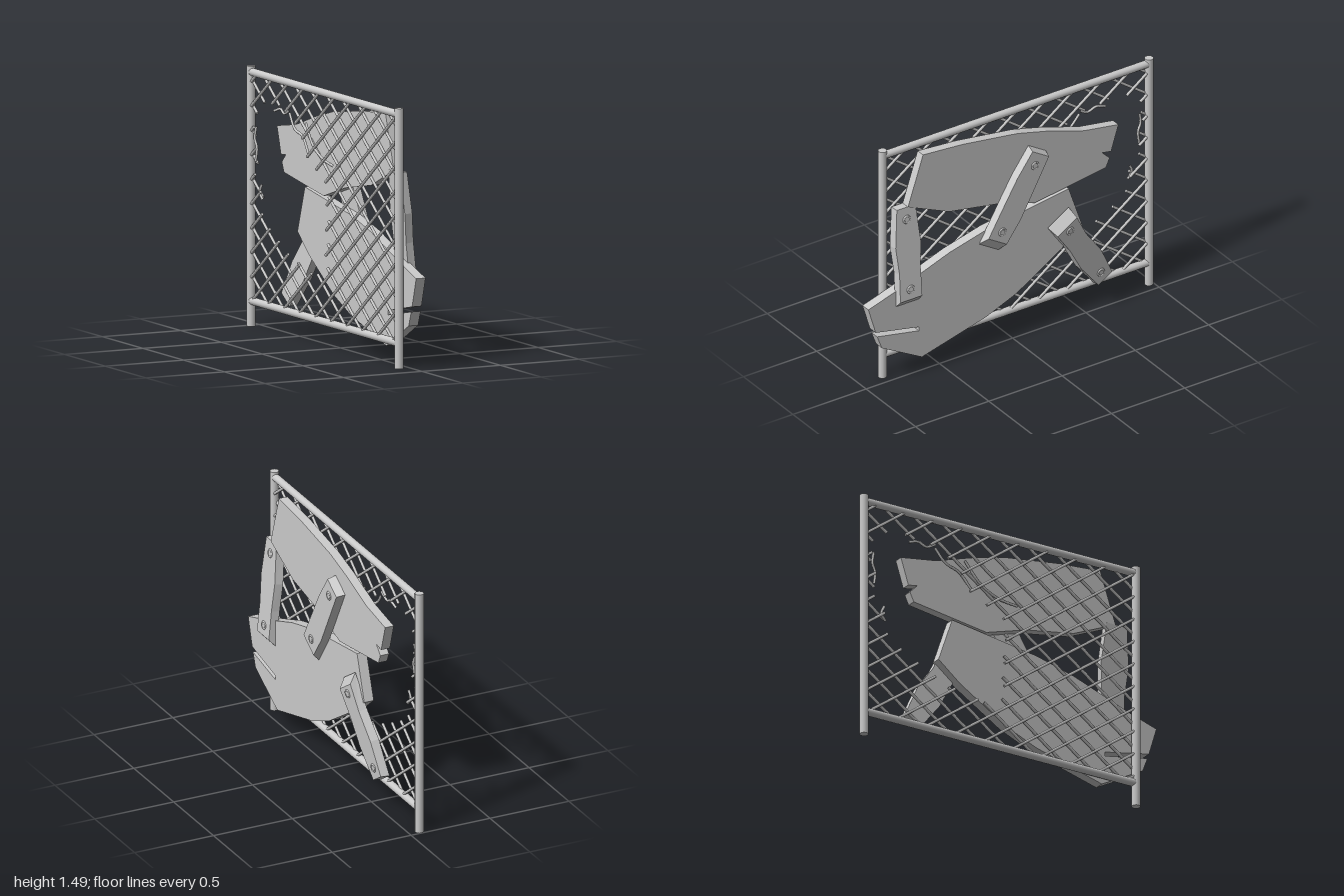
import * as THREE from 'three';

const mat = new THREE.MeshStandardMaterial({ color: 0xcccccc, flatShading: true });
const smooth = new THREE.MeshStandardMaterial({ color: 0xcccccc });
const V = (x, y, z) => new THREE.Vector3(x, y, z);
const shapeOf = (pts) => new THREE.Shape(pts.map(([x, y]) => new THREE.Vector2(x, y)));
const FRAME = -0.065; // depth of the fence plane

function add(parent, name, geometry, material = mat) {
  const m = new THREE.Mesh(geometry, material);
  m.name = name;
  parent.add(m);
  return m;
}

// Round bar between two points
function bar(parent, name, a, b, r, sides, material = smooth) {
  const d = b.clone().sub(a);
  const m = add(parent, name, new THREE.CylinderGeometry(r, r, d.length(), sides), material);
  m.position.copy(a).add(b).multiplyScalar(0.5);
  m.quaternion.setFromUnitVectors(V(0, 1, 0), d.normalize());
}

// Torn opening in the wire mesh
const hole = [[0.36, 1.2], [0.5, 1.28], [0.62, 1.3], [0.77, 1.31], [0.9, 1.27], [0.93, 1.12], [0.89, 0.98],
  [0.91, 0.88], [0.84, 0.8], [0.83, 0.67], [0.7, 0.57], [0.55, 0.5], [0.42, 0.44], [0.2, 0.4],
  [0.05, 0.42], [0.03, 0.85], [0.05, 0.97], [0.25, 1.03]];

function inHole(x, y) {
  let inside = false;
  for (let i = 0, j = hole.length - 1; i < hole.length; j = i++) {
    const [xi, yi] = hole[i], [xj, yj] = hole[j];
    if ((yi > y) !== (yj > y) && x < ((xj - xi) * (y - yi)) / (yj - yi) + xi) inside = !inside;
  }
  return inside;
}

// Diagonal wires, cut by the frame and by the opening
function wireMesh(parent) {
  const g = new THREE.Group();
  g.name = 'wireMesh';
  parent.add(g);
  const x0 = -0.83, x1 = 0.96, y0 = 0.15, y1 = 1.45, slope = 0.73, step = 0.14, dx = 0.004;
  for (const s of [1, -1]) {
    const depth = FRAME + s * 0.007;
    for (let c = -1.4; c < 3; c += step) {
      let start = null, last = null;
      for (let x = x0; x <= x1 + dx; x += dx) {
        const y = c + s * slope * x;
        const open = x <= x1 && y > y0 && y < y1 && !inHole(x, y);
        if (open) {
          last = V(x, y, depth);
          start = start || last;
        } else if (start) {
          if (last.distanceTo(start) > 0.02) bar(g, 'wire', start, last, 0.009, 6);
          start = null;
        }
      }
    }
  }
  // Loose, bent wire ends around the opening
  const loose = [
    [[0.3, 1.25], [0.2, 1.13], [0.08, 1.07], [-0.05, 1.05]],
    [[0.5, 1.28], [0.43, 1.2], [0.34, 1.17], [0.26, 1.08]],
    [[0.5, 1.3], [0.56, 1.27], [0.61, 1.29], [0.68, 1.27]],
    [[0.91, 1.15], [0.92, 1.08], [0.9, 1.03], [0.91, 0.95]],
    [[0.84, 0.83], [0.86, 0.78], [0.83, 0.74]],
  ];
  for (const pts of loose) {
    const curve = new THREE.CatmullRomCurve3(pts.map(([x, y], i) => V(x, y, FRAME - 0.004 * (i % 2))));
    add(g, 'looseWire', new THREE.TubeGeometry(curve, 12, 0.008, 6), smooth);
  }
}

// Flat board cut from an outline
function board(parent, name, pts, back, thickness) {
  const geo = new THREE.ExtrudeGeometry(shapeOf(pts), { depth: thickness, bevelEnabled: false });
  add(parent, name, geo).position.z = back;
}

// Bolted strip running from a to b; widths are [fraction along, left, right],
// cutLow and cutHigh slope the front edge of each end
function strip(parent, name, a, b, widths, thickness, cutLow, cutHigh, bolts) {
  const g = new THREE.Group();
  g.name = name;
  const len = a.distanceTo(b);
  const outline = [...widths.map(([t, , r]) => [r, t * len]),
    ...widths.slice().reverse().map(([t, l]) => [-l, t * len])];
  const geo = new THREE.ExtrudeGeometry(shapeOf(outline), { depth: thickness, bevelEnabled: false });
  const p = geo.attributes.position;
  for (let i = 0; i < p.count; i++) {
    if (p.getZ(i) < thickness / 2) continue;
    p.setX(i, p.getX(i) * 0.93);
    if (p.getY(i) < 0.001) p.setY(i, cutLow);
    if (p.getY(i) > len - 0.001) p.setY(i, len - cutHigh);
  }
  geo.computeVertexNormals();
  add(g, 'strip', geo);
  for (const t of bolts) {
    const ring = add(g, 'boltRing', new THREE.TorusGeometry(0.021, 0.006, 6, 16), smooth);
    ring.position.set(0, t * len, thickness);
    const head = add(g, 'boltHead', new THREE.CylinderGeometry(0.016, 0.018, 0.008, 12));
    head.rotation.x = Math.PI / 2;
    head.position.set(0, t * len, thickness);
  }
  const Y = b.clone().sub(a).normalize();
  const Z = V(0, 0, 1).addScaledVector(Y, -Y.z).normalize();
  g.quaternion.setFromRotationMatrix(new THREE.Matrix4().makeBasis(Y.clone().cross(Z), Y, Z));
  g.position.copy(a);
  parent.add(g);
}

export function createModel() {
  const model = new THREE.Group();
  model.name = 'patchedFence';
  // Panel is laid out in its own plane, then turned to face +x
  const panel = new THREE.Group();
  panel.name = 'panel';
  panel.rotation.y = Math.PI / 2;
  model.add(panel);

  // Posts and rails
  for (const x of [-0.845, 0.974]) bar(panel, 'post', V(x, 0, FRAME), V(x, 1.49, FRAME), 0.026, 12);
  for (const y of [0.145, 1.455]) bar(panel, 'rail', V(-0.845, y, FRAME), V(0.974, y, FRAME), 0.023, 12);
  wireMesh(panel);

  // Large boards
  board(panel, 'upperBoard', [[-0.624, 1.427], [-0.726, 1.117], [-0.447, 0.993], [-0.126, 0.935], [0.137, 0.854],
    [0.624, 0.924], [0.65, 0.98], [0.6, 1.03], [0.66, 1.02], [0.71, 1.18], [0.474, 1.218], [0.222, 1.3],
    [0.02, 1.352], [-0.356, 1.406]], -0.037, 0.055);
  board(panel, 'lowerBoard', [[-1, 0.533], [-0.95, 0.365], [-0.656, 0.305], [-0.656, 0.28], [-0.94, 0.335],
    [-0.908, 0.25], [-0.635, 0.1], [-0.195, 0.217], [0.01, 0.302], [0.313, 0.49], [0.458, 0.607],
    [0.367, 0.875], [-0.2, 0.79], [-0.447, 0.726], [-0.82, 0.59]], -0.037, 0.06);

  // Strips bolted across the boards
  strip(panel, 'sideStrip', V(-0.734, 0.485, 0.018), V(-0.734, 1.115, -0.04),
    [[0, 0.08, 0.08], [0.35, 0.075, 0.08], [0.62, 0.092, 0.092], [1, 0.068, 0.068]], 0.05, 0.045, 0.005, [0.17, 0.87]);
  strip(panel, 'middleStrip', V(-0.18, 0.67, 0.02), V(0.153, 1.213, 0.02),
    [[0, 0.078, 0.078], [0.35, 0.082, 0.092], [0.7, 0.085, 0.08], [1, 0.07, 0.07]], 0.05, 0.06, 0.015, [0.19, 0.86]);
  strip(panel, 'cornerStrip', V(0.62, 0.195, -0.03), V(0.29, 0.712, 0.03),
    [[0, 0.06, 0.06], [0.35, 0.085, 0.085], [0.65, 0.075, 0.07], [1, 0.084, 0.084]], 0.052, 0.01, 0.055, [0.12, 0.84]);
  return model;
}
